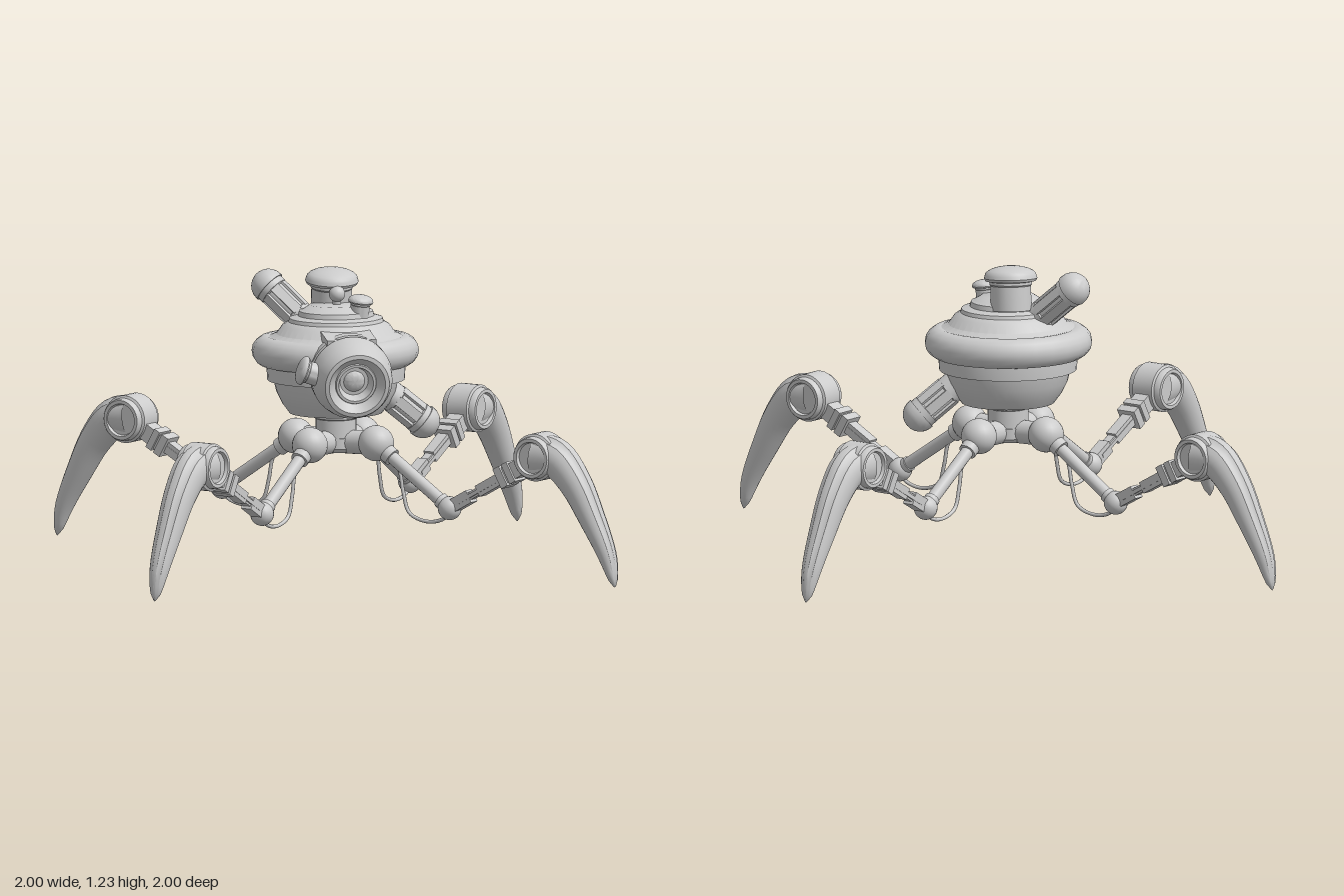
import * as THREE from 'three';
import { toCreasedNormals } from 'three/addons/utils/BufferGeometryUtils.js';

const material = new THREE.MeshStandardMaterial({ color: 0xcccccc });
const V = (x, y, z = 0) => new THREE.Vector3(x, y, z);

function add(parent, name, geometry, x = 0, y = 0, z = 0) {
  const mesh = new THREE.Mesh(geometry, material);
  mesh.name = name;
  mesh.position.set(x, y, z);
  parent.add(mesh);
  return mesh;
}

// Turned part: [radius, height] pairs from bottom to top
function turned(profile, sides = 32) {
  const points = profile.map(([r, y]) => new THREE.Vector2(r, y));
  return toCreasedNormals(new THREE.LatheGeometry(points, sides), 0.55);
}

const arc = (r, y, h, n = 6) => Array.from({ length: n + 1 }, (_, i) => {
  const a = (i / n) * Math.PI / 2;
  return [i === n ? 0 : r * Math.cos(a), y + h * Math.sin(a)];
});

// Point an object's +y axis from one point towards another
function aim(object, from, to) {
  object.position.copy(from);
  object.quaternion.setFromUnitVectors(V(0, 1, 0), to.clone().sub(from).normalize());
  return object;
}

function group(parent, name) {
  const g = new THREE.Group();
  g.name = name;
  parent.add(g);
  return g;
}

function strut(parent, name, from, to, radius, sides = 16) {
  const length = from.distanceTo(to);
  const geometry = new THREE.CylinderGeometry(radius, radius, length, sides);
  geometry.translate(0, length / 2, 0);
  return aim(add(parent, name, geometry), from, to);
}

// Ribbed canister with a domed end
function canister(parent, name, from, to) {
  const g = aim(group(parent, name), from, to);
  const l = from.distanceTo(to);
  add(g, 'canisterShell', turned([[0, 0], [0.062, 0], [0.062, 0.05], [0.056, 0.055], [0.056, l - 0.04],
    [0.066, l - 0.035], [0.066, l - 0.01], [0.072, l - 0.01], ...arc(0.072, l, 0.07)], 24));
  for (let i = 0; i < 6; i++) {
    const a = (i / 6) * Math.PI * 2;
    add(g, 'canisterRib', new THREE.BoxGeometry(0.042, l - 0.07, 0.016),
      Math.sin(a) * 0.054, l / 2 + 0.01, Math.cos(a) * 0.054).rotation.y = a;
  }
}

// Mushroom-shaped cap on a short stem
function capKnob(parent, name, from, to, r) {
  const l = from.distanceTo(to);
  const profile = [[0, 0], [r * 0.76, 0], [r * 0.76, l * 0.55], [r * 0.8, l * 0.58], [r * 0.8, l * 0.64],
    [r * 0.95, l * 0.66], [r, l * 0.72], ...arc(r * 0.97, l * 0.78, l * 0.22)];
  return aim(add(parent, name, turned(profile)), from, to);
}

// Tapered, curved claw lofted along its spine, grooved beside the outer ridge
function clawGeometry() {
  const spine = new THREE.CatmullRomCurve3([V(1.01, 0.53), V(1.1, 0.52), V(1.19, 0.43), V(1.275, 0.285),
    V(1.352, 0.13), V(1.388, 0.006)]);
  const rows = 24, cols = 24, positions = [], index = [];
  for (let i = 0; i <= rows; i++) {
    const t = i / rows;
    const c = spine.getPoint(t), d = spine.getTangent(t);
    const depth = 0.09 * Math.pow(1 - t, 0.62) + 0.006;
    const width = 0.08 * Math.pow(1 - t, 0.48) + 0.005;
    for (let j = 0; j < cols; j++) {
      const a = (j / cols) * Math.PI * 2;
      const groove = j === 2 || j === cols - 2 ? 0.9 : 1;
      const out = Math.cos(a) * depth * groove;
      positions.push(c.x - d.y * out, c.y + d.x * out, Math.sin(a) * width * groove);
      if (i < rows) {
        const p = i * cols + j, q = i * cols + (j + 1) % cols;
        index.push(p, q, p + cols, q, q + cols, p + cols);
      }
    }
  }
  const end = positions.length / 3, tip = spine.getPoint(1);
  positions.push(tip.x, 0, 0);
  for (let j = 0; j < cols; j++) index.push(rows * cols + j, rows * cols + (j + 1) % cols, end);
  const geometry = new THREE.BufferGeometry();
  geometry.setAttribute('position', new THREE.Float32BufferAttribute(positions, 3));
  geometry.setIndex(index);
  return toCreasedNormals(geometry, 0.6);
}

// One leg, reaching along local +x
function buildLeg(parent, angle, claw) {
  const leg = group(parent, 'leg');
  leg.rotation.y = angle;
  const hip = V(0.2, 0.515), knee = V(0.566, 0.27), ankle = V(1.02, 0.525);
  add(leg, 'hipBall', new THREE.SphereGeometry(0.075, 24, 16), hip.x, hip.y);
  strut(leg, 'hipMount', V(0.05, 0.51), hip, 0.05);
  strut(leg, 'upperLeg', hip, knee, 0.027);
  strut(leg, 'upperCollar', hip, hip.clone().lerp(knee, 0.22), 0.038);
  strut(leg, 'kneeCollar', knee.clone().lerp(hip, 0.13), knee, 0.033);
  add(leg, 'kneeBall', new THREE.SphereGeometry(0.05, 20, 14), knee.x, knee.y);

  // Lower link: [name, distance along, length, height, width]
  const link = aim(group(leg, 'lowerLink'), knee, ankle);
  for (const [name, y, length, h, w] of [
    ['linkSocket', 0.08, 0.09, 0.056, 0.05], ['linkBar', 0.21, 0.28, 0.032, 0.036],
    ['linkSleeve', 0.24, 0.13, 0.05, 0.05], ['linkClamp', 0.32, 0.035, 0.09, 0.09],
    ['linkClamp', 0.365, 0.03, 0.09, 0.09], ['linkNeck', 0.39, 0.16, 0.07, 0.07]]) {
    add(link, name, new THREE.BoxGeometry(h, length, w), 0, y);
  }
  for (const z of [-0.022, 0.022]) add(link, 'linkRail', new THREE.BoxGeometry(0.016, 0.28, 0.01), 0, 0.2, z);

  // Drum joint with stepped, recessed side discs
  const drum = turned([[0, -0.068], [0.064, -0.068], [0.069, -0.082], [0.083, -0.082], [0.088, -0.075],
    [0.09, -0.055], [0.1, -0.05], [0.1, 0.05], [0.09, 0.055], [0.088, 0.075], [0.083, 0.082],
    [0.069, 0.082], [0.064, 0.068], [0, 0.068]]);
  add(leg, 'ankleDrum', drum, ankle.x, ankle.y).rotation.x = Math.PI / 2;
  add(leg, 'claw', claw);

  const cable = new THREE.CatmullRomCurve3([V(0.24, 0.47), V(0.31, 0.42), V(0.335, 0.32), V(0.365, 0.235),
    V(0.45, 0.205), V(0.53, 0.22), V(0.575, 0.26)]);
  add(leg, 'cable', new THREE.TubeGeometry(cable, 32, 0.008, 8));
}

export function createModel() {
  const model = new THREE.Group();
  model.name = 'walker';

  // Body shell and surrounding ring, slightly shallower than wide
  const shell = turned([[0, 0.63], [0.195, 0.63], [0.225, 0.67], [0.25, 0.72], [0.262, 0.77],
    [0.288, 0.77], [0.292, 0.83], [0.285, 0.95], [0.25, 0.965], [0.225, 1.0], [0.2, 1.015], [0.195, 1.03],
    [0.16, 1.04], [0.155, 1.06], [0.14, 1.065], [0.11, 1.085], [0, 1.09]], 40);
  add(model, 'bodyShell', shell.scale(1, 1, 0.92));
  const ring = new THREE.TorusGeometry(0.287, 0.064, 16, 28).rotateX(Math.PI / 2);
  add(model, 'bodyRing', ring.scale(1, 1, 0.91), 0, 0.89, -0.014);

  // Neck and hub
  add(model, 'neck', turned([[0, 0.5], [0.085, 0.5], [0.085, 0.605], [0.095, 0.61], [0.095, 0.64], [0, 0.64]]));
  add(model, 'hub', turned([[0, 0.468], [0.075, 0.468], [0.09, 0.485], [0.09, 0.53], [0, 0.53]]));

  // Forward eye barrel with stepped, recessed lens
  const eye = aim(group(model, 'eye'), V(0, 0.845, 0.2), V(0, 0.65, 1.2));
  add(eye, 'eyeBarrel', turned([[0, 0], [0.14, 0], [0.165, 0.03], [0.17, 0.075], [0.162, 0.08], [0.162, 0.09],
    [0.17, 0.095], [0.171, 0.13], [0.16, 0.185], [0.137, 0.235], [0.12, 0.238], [0.088, 0.205], [0.085, 0.212],
    [0.074, 0.212], [0.06, 0.17], [0.048, 0.17], ...arc(0.045, 0.17, 0.02)], 36));
  const bracket = add(model, 'eyeBracket', new THREE.BoxGeometry(0.21, 0.035, 0.14), 0, 0.972, 0.25);
  bracket.rotation.x = 0.15;
  capKnob(model, 'eyeKnob', V(-0.14, 0.835, 0.335), V(-0.235, 0.868, 0.335), 0.062);

  // Top fittings
  capKnob(model, 'topHatch', V(0, 1.04, -0.098), V(0, 1.226, -0.078), 0.112);
  capKnob(model, 'smallCap', V(0.08, 1.04, 0.085), V(0.088, 1.135, 0.095), 0.053);
  add(model, 'sensorBall', new THREE.SphereGeometry(0.034, 20, 14), 0, 1.132, 0.02);
  strut(model, 'sensorStem', V(0, 1.07, 0.015), V(0, 1.13, 0.02), 0.018);

  // Canisters
  canister(model, 'upperCanister', V(-0.11, 1.0, -0.1), V(-0.247, 1.143, -0.2));
  canister(model, 'lowerCanister', V(0.215, 0.71, 0.01), V(0.37, 0.582, 0.01));

  // Four legs on the diagonals
  const claw = clawGeometry();
  for (let i = 0; i < 4; i++) buildLeg(model, Math.PI / 4 + i * Math.PI / 2, claw);
  return model;
}
